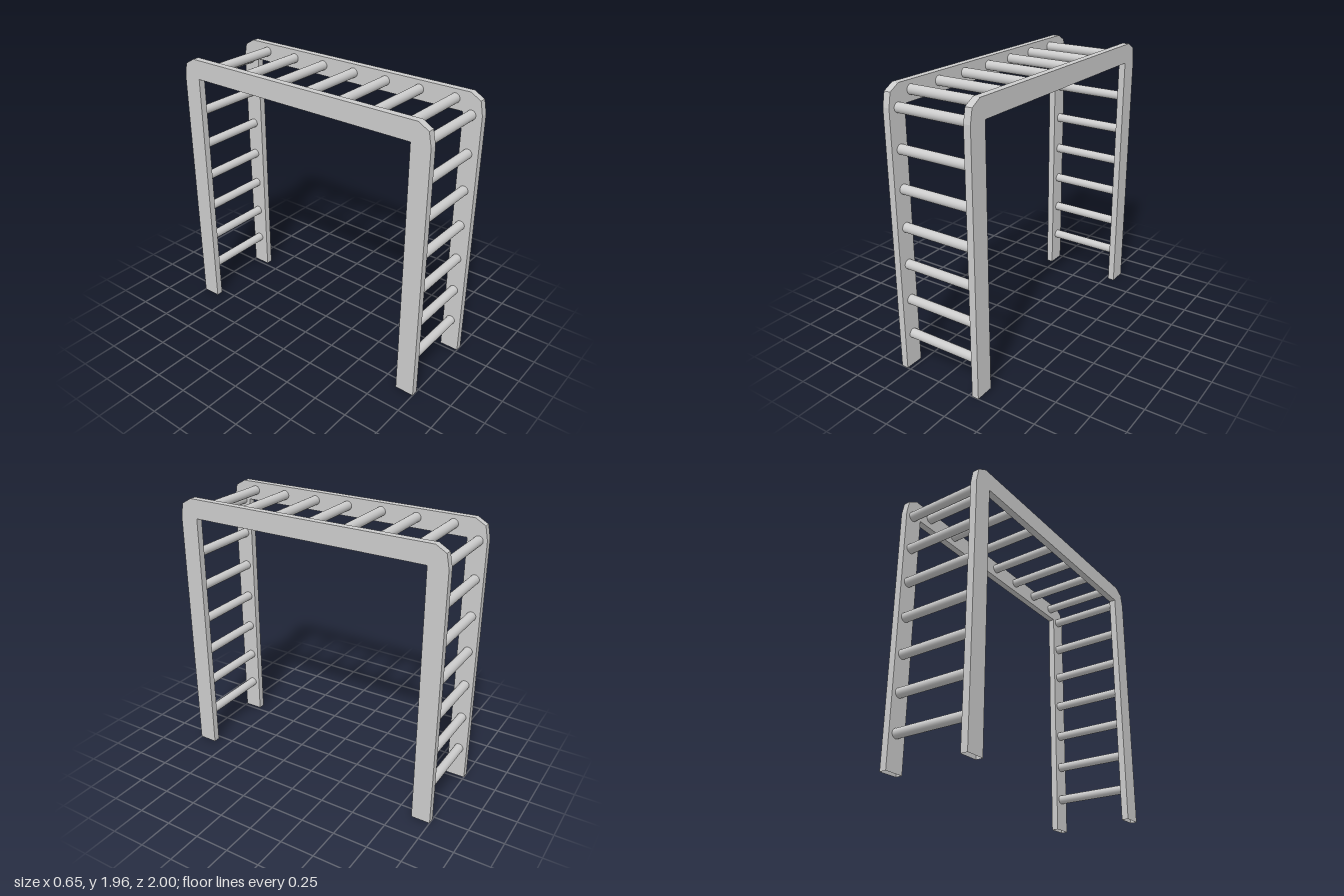
import * as THREE from 'three';

const RAIL_X = 0.3, RAIL_W = 0.049, LEG_D = 0.136, LEG_H = 1.822, TOP = 1.958;
const RUNG_R = 0.033, RUNG_GAP = 0.2618;

// Four-sided tube, open at both ends
function legGeometry() {
  const geo = new THREE.BoxGeometry(RAIL_W, LEG_H, LEG_D);
  const index = Array.from(geo.index.array);
  index.splice(12, 12);
  geo.setIndex(index);
  geo.clearGroups();
  return geo;
}

// Long side beam with two-step chamfered ends
function railGeometry() {
  const half = [[1, LEG_H], [0.981, 1.916], [0.908, TOP]];
  const mirrored = half.map(([z, y]) => [-z, y]).reverse();
  const shape = new THREE.Shape([...half, ...mirrored].map(([z, y]) => new THREE.Vector2(z, y)));
  const geo = new THREE.ExtrudeGeometry(shape, { depth: RAIL_W, bevelEnabled: false });
  return geo.translate(0, 0, -RAIL_W / 2).rotateY(Math.PI / 2);
}

export function createModel() {
  const model = new THREE.Group();
  model.name = 'monkeyBars';
  const material = new THREE.MeshStandardMaterial({ color: 0xcccccc });
  const tubeMaterial = new THREE.MeshStandardMaterial({ color: 0xcccccc, side: THREE.DoubleSide });

  const add = (name, geo, mat, x, y, z) => {
    const mesh = new THREE.Mesh(geo, mat);
    mesh.name = name;
    mesh.position.set(x, y, z);
    model.add(mesh);
  };

  // Side frames: one rail on two legs each
  const leg = legGeometry();
  const rail = railGeometry();
  for (const [side, x] of [['left', RAIL_X], ['right', -RAIL_X]]) {
    add(`${side}Rail`, rail, material, x, 0, 0);
    add(`${side}FrontLeg`, leg, tubeMaterial, x, LEG_H / 2, 1 - LEG_D / 2);
    add(`${side}BackLeg`, leg, tubeMaterial, x, LEG_H / 2, LEG_D / 2 - 1);
  }

  // Round rungs: two climbing ladders and the overhead row
  const rung = new THREE.CylinderGeometry(RUNG_R, RUNG_R, 2 * RAIL_X - RAIL_W, 24).rotateZ(Math.PI / 2);
  for (let i = 0; i < 7; i++) {
    const y = 0.241 + i * RUNG_GAP;
    add('frontLadderRung', rung, material, 0, y, 0.924);
    add('backLadderRung', rung, material, 0, y, -0.94);
    add('overheadRung', rung, material, 0, 1.897, -0.766 + i * RUNG_GAP);
  }
  return model;
}
